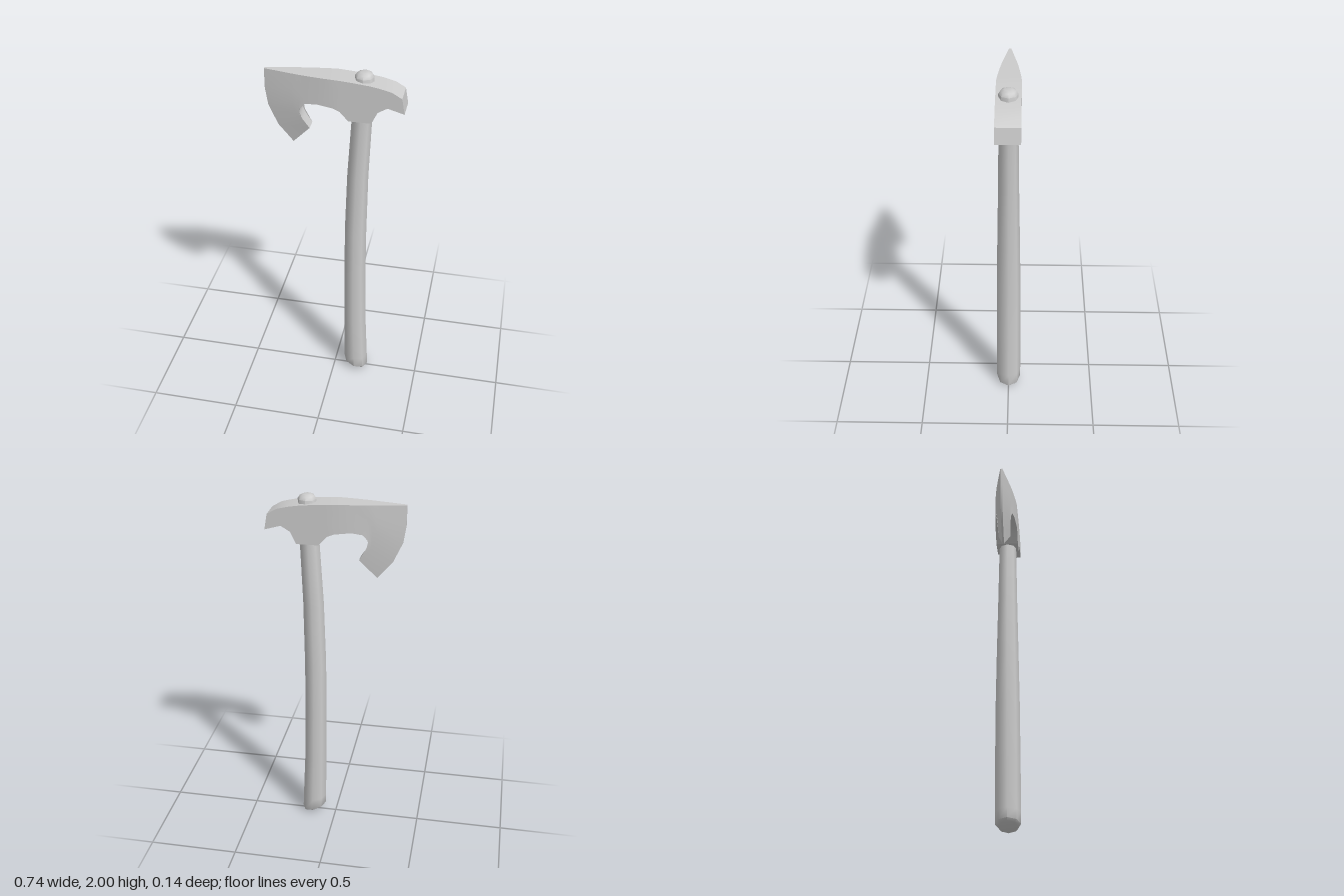
import * as THREE from 'three';
import { toCreasedNormals } from 'three/addons/utils/BufferGeometryUtils.js';

// Skin closed rings of equal length (counter-clockwise about the loft direction) and cap both ends.
function loft(rings, crease) {
  const n = rings[0].length;
  const pos = [];
  const quad = (a, b, c, d) => {
    for (const p of [a, b, c, a, c, d]) pos.push(...p);
  };
  for (let i = 0; i < rings.length - 1; i++) {
    const a = rings[i], b = rings[i + 1];
    for (let j = 0; j < n; j++) {
      const k = (j + 1) % n;
      quad(a[j], a[k], b[k], b[j]);
    }
  }
  const first = rings[0], last = rings[rings.length - 1];
  for (let j = 0; j < n / 2 - 1; j++) {
    quad(last[j], last[j + 1], last[n - 2 - j], last[n - 1 - j]);
    quad(first[n - 1 - j], first[n - 2 - j], first[j + 1], first[j]);
  }
  const geometry = new THREE.BufferGeometry();
  geometry.setAttribute('position', new THREE.Float32BufferAttribute(pos, 3));
  return toCreasedNormals(geometry, crease);
}

// Curve of the cutting edge: steps down each row and their bow away from a straight line.
const STEPS = [0, 0.27, 0.5, 0.77, 1];
const BOW = [0, -0.039, -0.058, -0.047, 0];

// Rows from cutting edge to poll: top x, top y, bottom x, bottom y, half thickness top, bottom, bow amount.
const HEAD_ROWS = [
  [-0.37, 1.97, -0.225, 1.56, 0.006, 0.005, 1],
  [-0.2, 1.97, -0.13, 1.665, 0.04, 0.034, 1],
  [-0.17, 1.97, -0.165, 1.715, 0.045, 0.037, 0.5],
  [-0.15, 1.97, -0.18, 1.745, 0.048, 0.04, 0.2],
  [-0.13, 1.97, -0.18, 1.775, 0.051, 0.043, 0],
  [-0.1, 1.97, -0.15, 1.81, 0.055, 0.048, 0],
  [-0.05, 1.97, -0.09, 1.82, 0.061, 0.056, 0],
  [0, 1.97, 0, 1.81, 0.065, 0.065, 0],
  [0.05, 1.967, 0.035, 1.795, 0.065, 0.065, 0],
  [0.1, 1.963, 0.08, 1.745, 0.065, 0.065, 0],
  [0.18, 1.955, 0.2, 1.745, 0.065, 0.065, 0],
  [0.24, 1.945, 0.23, 1.81, 0.065, 0.065, 0],
  [0.3, 1.93, 0.28, 1.84, 0.065, 0.065, 0],
  [0.352, 1.9, 0.367, 1.815, 0.065, 0.065, 0],
];

function headRing([tx, ty, bx, by, ht, hb, bow]) {
  const { lerp } = THREE.MathUtils;
  const front = STEPS.map((t, i) => [lerp(tx, bx, t) + BOW[i] * bow, lerp(ty, by, t), lerp(ht, hb, t)]);
  const back = front.map(([x, y, z]) => [x, y, -z]).reverse();
  return [...front, ...back];
}

// Handle sections: centre y, min x, max x, half depth, slant (drop towards +x).
const HANDLE_ROWS = [
  [0.02, 0.075, 0.19, 0.055, 0.02],
  [0.034, 0.06, 0.202, 0.07, 0.021],
  [0.1, 0.06, 0.199, 0.071, 0.01],
  [0.39, 0.057, 0.185, 0.07, 0],
  [0.72, 0.055, 0.178, 0.068, 0],
  [1.02, 0.055, 0.177, 0.063, 0],
  [1.39, 0.066, 0.181, 0.056, 0],
  [1.74, 0.087, 0.194, 0.051, 0],
  [1.85, 0.1, 0.2, 0.05, 0],
  [1.975, 0.1, 0.2, 0.05, 0],
  [1.992, 0.111, 0.189, 0.039, 0],
  [2.0, 0.127, 0.173, 0.023, 0],
];

function handleRing([y, x0, x1, rz, slant]) {
  return Array.from({ length: 8 }, (_, i) => {
    const a = (i * Math.PI) / 4;
    const c = Math.cos(a);
    return [(x0 + x1) / 2 + (c * (x1 - x0)) / 2, y - slant * c, -rz * Math.sin(a)];
  });
}

export function createModel() {
  const group = new THREE.Group();
  group.name = 'axe';
  const material = new THREE.MeshStandardMaterial({ color: 0xcccccc });
  const add = (name, geometry) => {
    const mesh = new THREE.Mesh(geometry, material);
    mesh.name = name;
    group.add(mesh);
  };

  // Bearded head, tapering to the cutting edge
  add('axeHead', loft(HEAD_ROWS.map(headRing), 0.6));
  // Eight-sided curved handle, its domed end showing above the head
  add('handle', loft(HANDLE_ROWS.map(handleRing), 0.9));

  return group;
}
